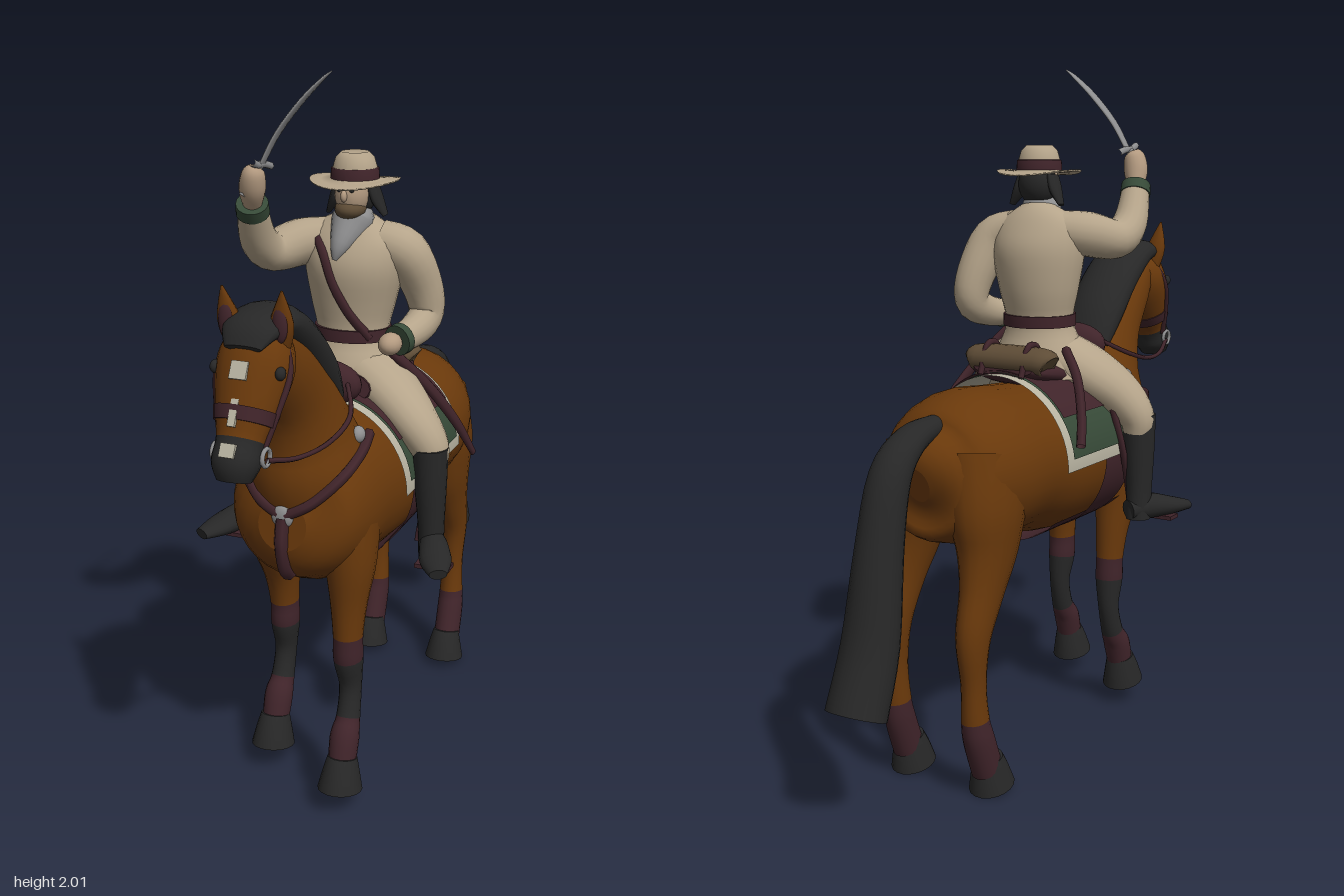
import * as THREE from 'three';

const mat = (name, color, side = THREE.FrontSide) => {
  const m = new THREE.MeshStandardMaterial({ color, side });
  m.name = name;
  return m;
};
const COAT = mat('chestnut coat', 0x6a390b);
const BLACK = mat('black hair and boots', 0x272727);
const LEATHER = mat('dark red leather', 0x40242a, THREE.DoubleSide);
const CLOTH = mat('cream cloth', 0xb5a48a, THREE.DoubleSide);
const TRIM = mat('pale trim', 0xb9b4a2, THREE.DoubleSide);
const GREEN = mat('green wool', 0x374a38, THREE.DoubleSide);
const STEEL = mat('steel', 0x8f8f90);
const ROLL = mat('brown blanket', 0x5e4c36);
const SKIN = mat('skin', 0xb39a80);

const V = (x, y, z) => new THREE.Vector3(x, y, z);
const X = V(1, 0, 0), Z = V(0, 0, 1);

export function createModel() {
  const root = new THREE.Group();
  root.name = 'horseAndRider';
  const add = (name, geo, material) => {
    const m = new THREE.Mesh(geo, material);
    m.name = name;
    root.add(m);
    return m;
  };

  // Smooth skin through sections [x, y, z, radius along ref, other radius]; one material per segment if an array
  function loft(name, sec, material, { ref = X, n = 18, k = 4 } = {}) {
    const rows = [], pos = [], idx = [];
    for (let i = 0; i < sec.length - 1; i++) {
      const [a, b, c, d] = [sec[Math.max(i - 1, 0)], sec[i], sec[i + 1], sec[Math.min(i + 2, sec.length - 1)]];
      for (let s = 0; s < k + (i === sec.length - 2 ? 1 : 0); s++) {
        const t = s / k;
        rows.push(b.map((_, q) => {
          const v = 0.5 * (2 * b[q] + (c[q] - a[q]) * t + (2 * a[q] - 5 * b[q] + 4 * c[q] - d[q]) * t * t
            + (3 * b[q] - a[q] - 3 * c[q] + d[q]) * t ** 3);
          return q > 2 ? Math.max(v, 0.001) : v;
        }));
      }
    }
    const last = rows.length - 1;
    const ring = (i) => {
      const p = V(...rows[i]);
      const t = V(...rows[Math.min(i + 1, last)]).sub(V(...rows[Math.max(i - 1, 0)])).normalize();
      const u = ref.clone().addScaledVector(t, -ref.dot(t)).normalize(), v = t.clone().cross(u);
      for (let j = 0; j < n; j++) {
        const a = (j / n) * Math.PI * 2;
        const q = p.clone().addScaledVector(u, Math.cos(a) * rows[i][3]).addScaledVector(v, Math.sin(a) * rows[i][4]);
        pos.push(q.x, q.y, q.z);
      }
    };
    rows.forEach((_, i) => ring(i));
    const cap = (i, flip) => {
      const base = pos.length / 3;
      ring(i);
      pos.push(...rows[i].slice(0, 3));
      for (let j = 0; j < n; j++) {
        const e = [base + j, base + (j + 1) % n];
        idx.push(base + n, ...(flip ? e.reverse() : e));
      }
    };
    const geo = new THREE.BufferGeometry();
    cap(0, true);
    let start = 0;
    for (let i = 0; i < last; i++) {
      for (let j = 0; j < n; j++) {
        const a = i * n + j, b = i * n + (j + 1) % n;
        idx.push(a, b, a + n, b, b + n, a + n);
      }
      if (i === last - 1) cap(last, false);
      if ((i + 1) % k === 0) {
        geo.addGroup(start, idx.length - start, Math.floor(i / k));
        start = idx.length;
      }
    }
    if (!Array.isArray(material)) geo.clearGroups();
    geo.setAttribute('position', new THREE.Float32BufferAttribute(pos, 3));
    geo.setIndex(idx);
    geo.computeVertexNormals();
    return add(name, geo, material);
  }
  const tube = (name, pts, r, material) =>
    add(name, new THREE.TubeGeometry(new THREE.CatmullRomCurve3(pts.map((p) => V(...p))), 24, r, 6), material);
  const ball = (name, p, s, material) =>
    add(name, new THREE.SphereGeometry(1, 18, 12).scale(...s).translate(...p), material);
  // Sheet bent over the barrel; angles in degrees from straight up
  const drape = (name, a0, a1, z0, z1, off, material) => add(name,
    new THREE.CylinderGeometry(1, 1, z1 - z0, 32, 1, true, a0 * Math.PI / 180, (a1 - a0) * Math.PI / 180)
      .rotateX(-Math.PI / 2).scale(0.24 + off, 0.245 + off, 1).translate(0, 0.873, (z0 + z1) / 2), material);
  // Push a point onto the surface of meshes, seen from centre c
  const snap = (p, c, meshes) => {
    const o = V(...p).sub(V(...c)).multiplyScalar(4).add(V(...c));
    const hit = new THREE.Raycaster(o, V(...c).sub(o).normalize()).intersectObjects(meshes)[0];
    return hit ? hit.point.toArray() : p;
  };
  const both = (f) => [1, -1].forEach(f);

  // Horse trunk, neck and head
  const trunk = loft('horseBody', [
    [0, 0.88, -0.525, 0.04, 0.05], [0, 0.885, -0.50, 0.12, 0.13], [0, 0.88, -0.44, 0.185, 0.18],
    [0, 0.89, -0.31, 0.23, 0.22], [0, 0.885, -0.15, 0.232, 0.214], [0, 0.865, 0, 0.235, 0.228],
    [0, 0.868, 0.17, 0.232, 0.237], [0, 0.873, 0.32, 0.215, 0.235], [0, 0.86, 0.45, 0.2, 0.23],
    [0, 0.85, 0.54, 0.165, 0.165], [0, 0.855, 0.59, 0.07, 0.07]], COAT, { n: 28 });
  const neck = loft('horseNeck', [
    [0, 0.86, 0.36, 0.17, 0.19], [0, 0.98, 0.42, 0.165, 0.185], [0, 1.09, 0.455, 0.13, 0.15],
    [0, 1.2, 0.515, 0.105, 0.115], [0, 1.31, 0.61, 0.092, 0.095], [0, 1.38, 0.68, 0.075, 0.07]], COAT);
  const head = loft('horseHead', [
    [0, 1.425, 0.67, 0.05, 0.045], [0, 1.39, 0.69, 0.085, 0.08], [0, 1.33, 0.72, 0.1, 0.088],
    [0, 1.24, 0.77, 0.083, 0.074], [0, 1.17, 0.81, 0.062, 0.056], [0, 1.12, 0.838, 0.062, 0.06],
    [0, 1.08, 0.85, 0.045, 0.04]], [COAT, COAT, COAT, COAT, BLACK, BLACK]);
  loft('mane', [
    [0, 1.395, 0.785, 0.05, 0.012], [0, 1.425, 0.745, 0.075, 0.032], [0, 1.435, 0.69, 0.085, 0.04],
    [0, 1.418, 0.62, 0.092, 0.055], [0, 1.345, 0.52, 0.095, 0.06], [0, 1.25, 0.43, 0.095, 0.06],
    [0, 1.16, 0.365, 0.085, 0.04]], BLACK);
  loft('tail', [
    [0, 1.03, -0.44, 0.035, 0.03], [0, 1.01, -0.55, 0.05, 0.04], [0, 0.93, -0.64, 0.058, 0.055],
    [0, 0.75, -0.69, 0.065, 0.065], [0, 0.5, -0.735, 0.08, 0.075], [0, 0.325, -0.8, 0.085, 0.08]], BLACK);

  both((s) => {
    const side = s > 0 ? 'left' : 'right', d = s > 0 ? 0 : -0.14;
    // Forelegs, the left one stepping forward
    loft(side + 'Foreleg', [
      [0.12 * s, 0.9, 0.4 + d * 0.15, 0.08, 0.12], [0.13 * s, 0.72, 0.43 + d * 0.5, 0.072, 0.085],
      [0.13 * s, 0.59, 0.445 + d * 0.85, 0.052, 0.057], [0.13 * s, 0.49, 0.452 + d, 0.042, 0.047],
      [0.13 * s, 0.42, 0.45 + d, 0.042, 0.048], [0.133 * s, 0.33, 0.442 + d, 0.032, 0.035],
      [0.135 * s, 0.24, 0.465 + d, 0.034, 0.036], [0.136 * s, 0.19, 0.495 + d, 0.042, 0.042],
      [0.137 * s, 0.11, 0.52 + d, 0.038, 0.042]],
      [COAT, COAT, COAT, LEATHER, BLACK, BLACK, LEATHER, LEATHER]);
    // Hind legs
    loft(side + 'HindLeg', [
      [0.1 * s, 0.94, -0.34, 0.1, 0.15], [0.12 * s, 0.8, -0.37, 0.095, 0.135], [0.13 * s, 0.69, -0.385, 0.075, 0.108],
      [0.135 * s, 0.58, -0.42, 0.055, 0.078], [0.135 * s, 0.46, -0.462, 0.045, 0.058],
      [0.135 * s, 0.33, -0.462, 0.034, 0.04], [0.135 * s, 0.22, -0.455, 0.038, 0.043],
      [0.137 * s, 0.16, -0.442, 0.042, 0.048], [0.138 * s, 0.06, -0.405, 0.042, 0.05]],
      [COAT, COAT, COAT, COAT, COAT, COAT, LEATHER, LEATHER]);
    [[0.05, 0.535 + d, 'ForeHoof'], [0, -0.38, 'HindHoof']].forEach(([y, z, name]) => loft(side + name, [
      [0.138 * s, y + 0.09, z - 0.02, 0.042, 0.044], [0.138 * s, y + 0.05, z - 0.01, 0.052, 0.058],
      [0.138 * s, y, z, 0.063, 0.07]], BLACK, { k: 2 }));
    // Ears, eyes, nostrils
    loft(side + 'Ear', [[0.06 * s, 1.39, 0.705, 0.03, 0.022], [0.072 * s, 1.45, 0.715, 0.032, 0.02],
      [0.08 * s, 1.53, 0.73, 0.003, 0.003]], COAT, { n: 10 });
    ball(side + 'EarInner', [0.073 * s, 1.445, 0.728], [0.02, 0.045, 0.012], LEATHER);
    ball(side + 'HorseEye', [0.088 * s, 1.335, 0.762], [0.013, 0.017, 0.017], BLACK);
    // Bridle, bit and reins
    const strap = [[0.08 * s, 1.42, 0.69], [0.1 * s, 1.33, 0.73], [0.09 * s, 1.24, 0.77], [0.07 * s, 1.15, 0.8]];
    tube(side + 'CheekStrap', strap.map((p) => snap(p, [0, p[1], p[2]], [head])), 0.009, LEATHER);
    add(side + 'BitRing', new THREE.TorusGeometry(0.022, 0.006, 6, 14).rotateY(Math.PI / 2)
      .translate(0.068 * s, 1.135, 0.81), STEEL);
    tube(side + 'Rein', [[0.068 * s, 1.125, 0.805], [0.1 * s, 1.1, 0.7], [0.128 * s, 1.1, 0.56],
      [0.13 * s, 1.13, 0.43], [0.07 * s, 1.19, 0.31]], 0.007, LEATHER);
    // Breast collar
    const collar = [[0.01 * s, 0.88, 0.62], [0.08 * s, 0.92, 0.59], [0.15 * s, 0.99, 0.52], [0.19 * s, 1.05, 0.42],
      [0.2 * s, 1.1, 0.32]];
    tube(side + 'BreastStrap', collar.map((p) => snap(p, [0, 0.92, 0.34], [trunk, neck])), 0.016, LEATHER);
    const buckle = snap([0.17 * s, 1.08, 0.4], [0, 1.0, 0.35], [trunk, neck]);
    ball(side + 'Buckle', buckle, [0.02, 0.024, 0.024], STEEL);
  });
  const browband = [-0.085, -0.05, 0, 0.05, 0.085].map((x) => snap([x, 1.42, 0.8 - Math.abs(x)], [0, 1.36, 0.71], [head]));
  tube('browband', browband, 0.009, LEATHER);
  loft('noseband', [[0, 1.235, 0.773, 0.085, 0.077], [0, 1.205, 0.79, 0.078, 0.07]], LEATHER, { k: 1 });
  const disc = snap([0, 0.88, 0.6], [0, 0.88, 0.3], [trunk, neck]);
  ball('breastBoss', disc, [0.032, 0.032, 0.014], STEEL);
  tube('chestStrap', [0.88, 0.8, 0.72, 0.66].map((y) => snap([0, y, 0.6], [0, 0.85, 0.36], [trunk])), 0.02, LEATHER);

  // White face marking
  [[1.36, 0.045, 0.045], [1.265, 0.02, 0.08], [1.17, 0.04, 0.035]].forEach(([y, w, h]) => {
    const p = snap([0, y, 0.9], [0, y - 0.025, 0.72], [head]);
    add('blaze', new THREE.BoxGeometry(w, h, 0.009).rotateX(-0.48).translate(...p), TRIM);
  });

  // Saddle cloth, saddle and girth
  drape('saddleCloth', -91, 91, -0.15, 0.31, 0.008, TRIM);
  drape('clothPanel', -83, 83, -0.12, 0.28, 0.012, GREEN);
  drape('saddleFlaps', -56, 56, -0.12, 0.28, 0.018, LEATHER);
  drape('girth', 88, 272, 0.08, 0.24, 0.003, LEATHER);
  drape('bellyGuard', 135, 225, -0.1, 0.3, 0.001, LEATHER);
  loft('saddleSeat', [[0, 1.14, -0.11, 0.1, 0.02], [0, 1.13, -0.06, 0.13, 0.04], [0, 1.11, 0.1, 0.13, 0.04],
    [0, 1.14, 0.24, 0.11, 0.05]], LEATHER);
  ball('pommel', [0, 1.17, 0.3], [0.11, 0.065, 0.05], LEATHER);
  loft('bedroll', [[-0.13, 1.155, -0.06, 0.035, 0.03], [-0.1, 1.16, -0.06, 0.055, 0.043], [0.1, 1.16, -0.06, 0.055, 0.043],
    [0.13, 1.155, -0.06, 0.035, 0.03]], ROLL, { ref: Z });
  both((s) => tube('rollStrap', [[0.07 * s, 1.13, 0], [0.07 * s, 1.205, -0.04], [0.07 * s, 1.205, -0.08],
    [0.07 * s, 1.12, -0.12]], 0.01, LEATHER));

  // Rider legs and boots
  both((s) => {
    const side = s > 0 ? 'left' : 'right';
    loft(side + 'TrouserLeg', [[0.03 * s, 1.17, 0.1, 0.1, 0.08], [0.13 * s, 1.12, 0.14, 0.1, 0.075],
      [0.22 * s, 1.05, 0.185, 0.08, 0.065], [0.275 * s, 0.98, 0.2, 0.058, 0.055], [0.28 * s, 0.93, 0.2, 0.045, 0.042]],
      CLOTH, { ref: Z });
    loft(side + 'Boot', [[0.28 * s, 0.985, 0.21, 0.05, 0.053], [0.282 * s, 0.88, 0.21, 0.046, 0.05],
      [0.285 * s, 0.76, 0.208, 0.038, 0.043], [0.285 * s, 0.665, 0.205, 0.036, 0.042]], BLACK);
    loft(side + 'Foot', [[0.27 * s, 0.695, 0.17, 0.03, 0.03], [0.3 * s, 0.7, 0.23, 0.04, 0.04],
      [0.335 * s, 0.69, 0.31, 0.045, 0.028], [0.365 * s, 0.682, 0.375, 0.025, 0.015]], BLACK);
    add(side + 'Stirrup', new THREE.BoxGeometry(0.1, 0.012, 0.05).translate(0.32 * s, 0.662, 0.28), LEATHER);
    tube(side + 'StirrupStrap', [[0.23 * s, 1.02, 0.13], [0.255 * s, 0.9, 0.15], [0.25 * s, 0.7, 0.22]], 0.01, LEATHER);
  });

  // Rider torso, coat skirt and belt
  const torso = loft('coat', [[0, 1.1, 0.1, 0.165, 0.13], [0, 1.18, 0.1, 0.135, 0.115], [0, 1.26, 0.095, 0.105, 0.09],
    [0, 1.36, 0.09, 0.125, 0.105], [0.005, 1.47, 0.095, 0.145, 0.115], [0.01, 1.55, 0.1, 0.13, 0.085],
    [0.015, 1.6, 0.11, 0.055, 0.05]], CLOTH, { n: 24 });
  loft('belt', [[0, 1.285, 0.094, 0.112, 0.1], [0, 1.25, 0.095, 0.112, 0.1]], LEATHER, { k: 1, n: 24 });
  const sash = [[-0.09, 1.56, 0.12], [-0.07, 1.51, 0.25], [-0.02, 1.43, 0.25], [0.04, 1.35, 0.25], [0.1, 1.27, 0.18]];
  tube('shoulderBelt', sash.map((p) => snap(p, [0, p[1] - 0.02, 0.09], [torso])), 0.014, LEATHER);
  loft('neckerchief', [[0.012, 1.63, 0.118, 0.04, 0.042], [0.012, 1.59, 0.125, 0.06, 0.06], [0, 1.53, 0.185, 0.03, 0.03],
    [-0.01, 1.49, 0.2, 0.008, 0.01]], STEEL);

  // Arms, green cuffs and hands
  loft('rightSleeve', [[-0.07, 1.53, 0.1, 0.06, 0.06], [-0.14, 1.52, 0.14, 0.066, 0.066], [-0.195, 1.505, 0.21, 0.058, 0.058],
    [-0.205, 1.55, 0.275, 0.052, 0.052], [-0.19, 1.64, 0.335, 0.042, 0.042]], CLOTH);
  loft('rightCuff', [[-0.192, 1.632, 0.33, 0.046, 0.046], [-0.185, 1.66, 0.348, 0.044, 0.044]], GREEN, { k: 1 });
  loft('rightHand', [[-0.185, 1.655, 0.345, 0.025, 0.025], [-0.175, 1.7, 0.365, 0.036, 0.036],
    [-0.165, 1.745, 0.375, 0.03, 0.035], [-0.16, 1.762, 0.375, 0.015, 0.02]], SKIN);
  loft('leftSleeve', [[0.08, 1.53, 0.09, 0.06, 0.06], [0.15, 1.5, 0.075, 0.066, 0.066], [0.185, 1.4, 0.03, 0.058, 0.06],
    [0.195, 1.32, 0.02, 0.05, 0.055], [0.185, 1.285, 0.075, 0.046, 0.048], [0.165, 1.27, 0.145, 0.04, 0.04]], CLOTH);
  loft('leftCuff', [[0.167, 1.271, 0.14, 0.045, 0.045], [0.16, 1.268, 0.162, 0.044, 0.044]], GREEN, { k: 1 });
  ball('leftHand', [0.15, 1.265, 0.19], [0.033, 0.032, 0.042], SKIN);

  // Head and beard
  ball('face', [0.015, 1.665, 0.135], [0.048, 0.065, 0.055], SKIN);
  ball('nose', [0.013, 1.665, 0.19], [0.009, 0.016, 0.012], SKIN);
  ball('beard', [0.015, 1.625, 0.148], [0.043, 0.03, 0.05], ROLL);
  ball('hair', [0.015, 1.665, 0.105], [0.06, 0.065, 0.052], BLACK);
  both((s) => {
    loft('hairLock', [[0.015 + 0.05 * s, 1.69, 0.11, 0.012, 0.03], [0.015 + 0.062 * s, 1.65, 0.105, 0.015, 0.03],
      [0.015 + 0.085 * s, 1.605, 0.1, 0.006, 0.015]], BLACK, { n: 10 });
    ball('eye', [0.015 + 0.018 * s, 1.68, 0.183], [0.007, 0.005, 0.005], BLACK);
  });

  // Wide-brimmed hat, its brim turned up a little at the sides
  const lathe = (name, pts, material) => {
    const g = new THREE.LatheGeometry(pts.map((p) => new THREE.Vector2(...p)), 32), p = g.attributes.position;
    for (let i = 0; i < p.count; i++) {
      const x = p.getX(i), r = Math.hypot(x, p.getZ(i));
      if (r > 0.07) p.setY(i, p.getY(i) + (x * x - 0.006) * 0.9);
    }
    g.computeVertexNormals();
    return add(name, g.translate(0.017, 0, 0.118), material);
  };
  lathe('hat', [[0.02, 1.698], [0.06, 1.698], [0.095, 1.696], [0.122, 1.694], [0.126, 1.699], [0.095, 1.703], [0.066, 1.706],
    [0.062, 1.735], [0.054, 1.762], [0.038, 1.778], [0.015, 1.768], [0.001, 1.764]], CLOTH);
  lathe('hatBand', [[0.068, 1.706], [0.066, 1.734], [0.06, 1.736]], LEATHER);

  // Raised sabre
  loft('sabreBlade', [[-0.147, 1.765, 0.362, 0.017, 0.005], [-0.108, 1.845, 0.345, 0.021, 0.005],
    [-0.055, 1.925, 0.31, 0.022, 0.005], [-0.01, 1.98, 0.275, 0.014, 0.004], [0.01, 2.0, 0.258, 0.002, 0.002]],
    STEEL, { ref: Z, n: 8 });
  tube('sabreGuard', [[-0.15, 1.778, 0.412], [-0.15, 1.768, 0.385], [-0.15, 1.765, 0.345], [-0.145, 1.755, 0.31]], 0.01, STEEL);
  tube('sabreGrip', [[-0.152, 1.765, 0.362], [-0.175, 1.72, 0.375], [-0.19, 1.685, 0.39]], 0.012, STEEL);

  // Scabbard on the left, sling on the right
  loft('scabbard', [[0.13, 1.25, 0.17, 0.012, 0.016], [0.21, 1.12, 0.06, 0.012, 0.018], [0.265, 0.98, -0.05, 0.012, 0.018],
    [0.295, 0.85, -0.145, 0.008, 0.012]], LEATHER, { n: 10 });
  tube('rightSling', [[-0.13, 1.19, 0.03], [-0.21, 1.12, -0.04], [-0.26, 1.02, -0.1], [-0.285, 0.95, -0.145]], 0.014, LEATHER);

  return root;
}
